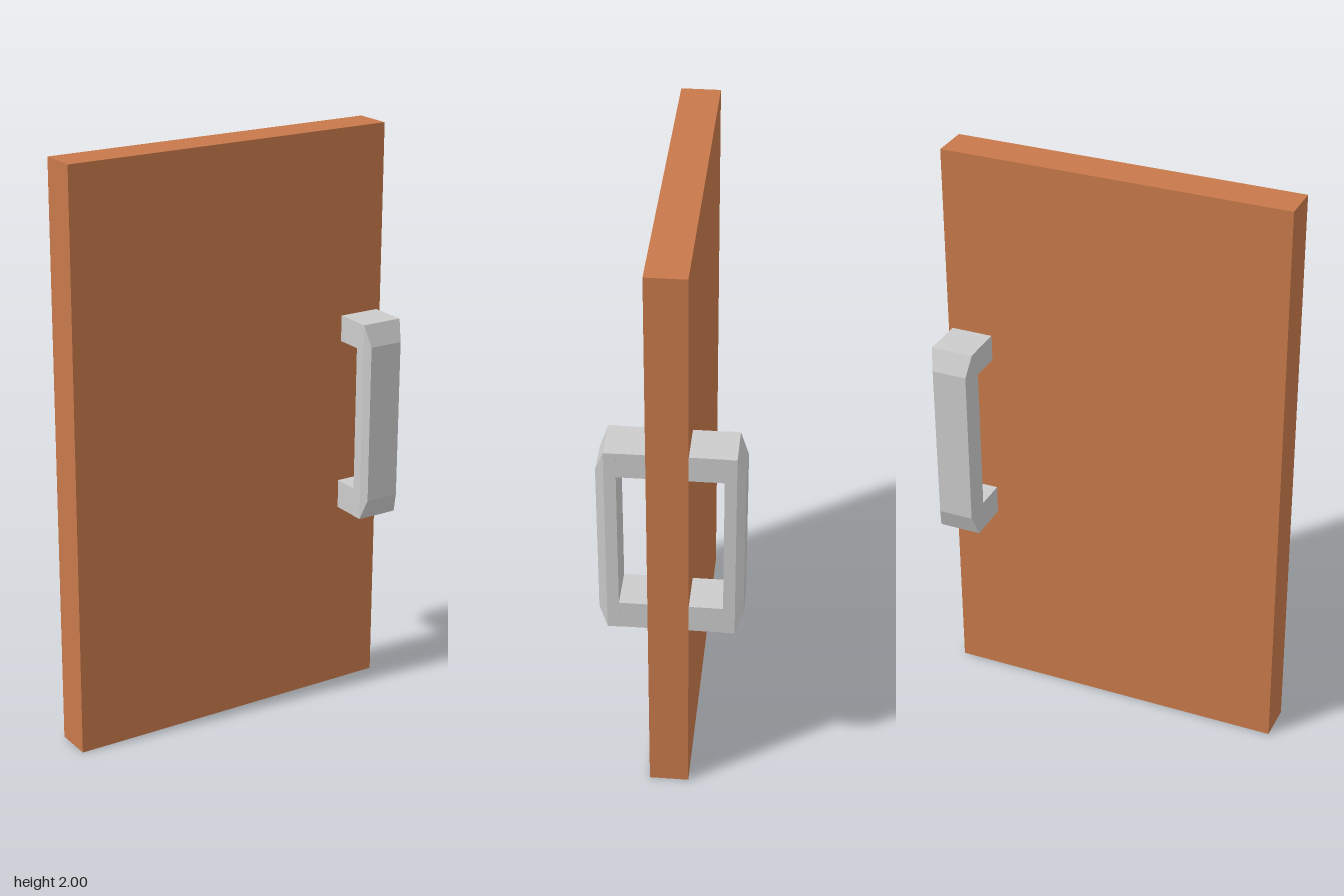
import * as THREE from 'three';
import { ConvexGeometry } from 'three/addons/geometries/ConvexGeometry.js';

const L = -0.593, R = 0.59, FRONT = 0.074, BACK = -0.057;

function hull(points) {
  return new ConvexGeometry(points.map((p) => new THREE.Vector3(...p)));
}

function rect(x, y0, y1, z) {
  return [[-x, y0, z], [x, y0, z], [x, y1, z], [-x, y1, z]];
}

// Corners of the broken door panel: [front x, front y, back x, back y]
const corners = {
  topLeft: [L, 2, L, 2], topRight: [R, 2, R, 2],
  bottomLeft: [L, 0, L, 0], bottomRight: [R, 0, R, 0],
  leftHigh: [L, 1.93, L, 1.9], rightHigh: [R, 1.47, R, 1.44],
  leftMid: [L, 0.86, L, 0.865], rightMid: [R, 0.9, R, 0.905],
  topA: [0.02, 2, 0.13, 2], topB: [0.32, 2, 0.13, 2],
  forkA: [-0.02, 1.88, 0.07, 1.84], forkB: [0.18, 1.78, 0.07, 1.84],
  centre: [0.17, 0.855, 0.19, 0.86],
  footFork: [-0.04, 0.03, -0.035, 0.03],
  footA: [-0.06, 0, -0.05, 0], footB: [0.04, 0, 0.07, 0],
};

// Pieces that fit together into the panel
const pieces = {
  topLeftPiece: ['topLeft', 'topA', 'forkA', 'leftHigh'],
  topWedge: ['topA', 'topB', 'forkB', 'forkA'],
  topRightPiece: ['topB', 'topRight', 'rightHigh', 'forkB'],
  middlePiece: ['leftHigh', 'forkA', 'forkB', 'rightHigh', 'rightMid', 'centre', 'leftMid'],
  bottomLeftPiece: ['leftMid', 'centre', 'footFork', 'footA', 'bottomLeft'],
  bottomWedge: ['footFork', 'footA', 'footB'],
  bottomRightPiece: ['centre', 'rightMid', 'bottomRight', 'footB', 'footFork'],
};

function createHandle(material) {
  const handle = new THREE.Group();
  const add = (name, geometry) => {
    const mesh = new THREE.Mesh(geometry, material);
    mesh.name = name;
    handle.add(mesh);
    return mesh;
  };

  // Grip with a bevelled outer face
  add('grip', hull([
    ...rect(0.073, 0.665, 1.36, 0.167),
    ...rect(0.073, 0.665, 1.36, 0.205),
    ...rect(0.06, 0.738, 1.287, 0.232),
  ]));

  // Legs reaching into the panel
  for (const [name, y0, y1] of [['lowerLeg', 0.665, 0.765], ['upperLeg', 1.27, 1.36]]) {
    add(name, new THREE.BoxGeometry(0.144, y1 - y0, 0.137))
      .position.set(0, (y0 + y1) / 2, 0.0985);
  }
  return handle;
}

export function createModel() {
  const model = new THREE.Group();
  model.name = 'door';
  const wood = new THREE.MeshStandardMaterial({ color: 0xc8794a, flatShading: true });
  const metal = new THREE.MeshStandardMaterial({ color: 0xcccccc, flatShading: true });

  // Panel
  const panel = new THREE.Group();
  panel.name = 'panel';
  for (const [name, keys] of Object.entries(pieces)) {
    const points = keys.flatMap((key) => {
      const [fx, fy, bx, by] = corners[key];
      return [[fx, fy, FRONT], [bx, by, BACK]];
    });
    const mesh = new THREE.Mesh(hull(points), wood);
    mesh.name = name;
    panel.add(mesh);
  }
  model.add(panel);

  // Handles on both faces
  for (const [name, turn] of [['frontHandle', 0], ['backHandle', Math.PI]]) {
    const handle = createHandle(metal);
    handle.name = name;
    handle.position.x = 0.504;
    handle.rotation.y = turn;
    model.add(handle);
  }
  return model;
}
